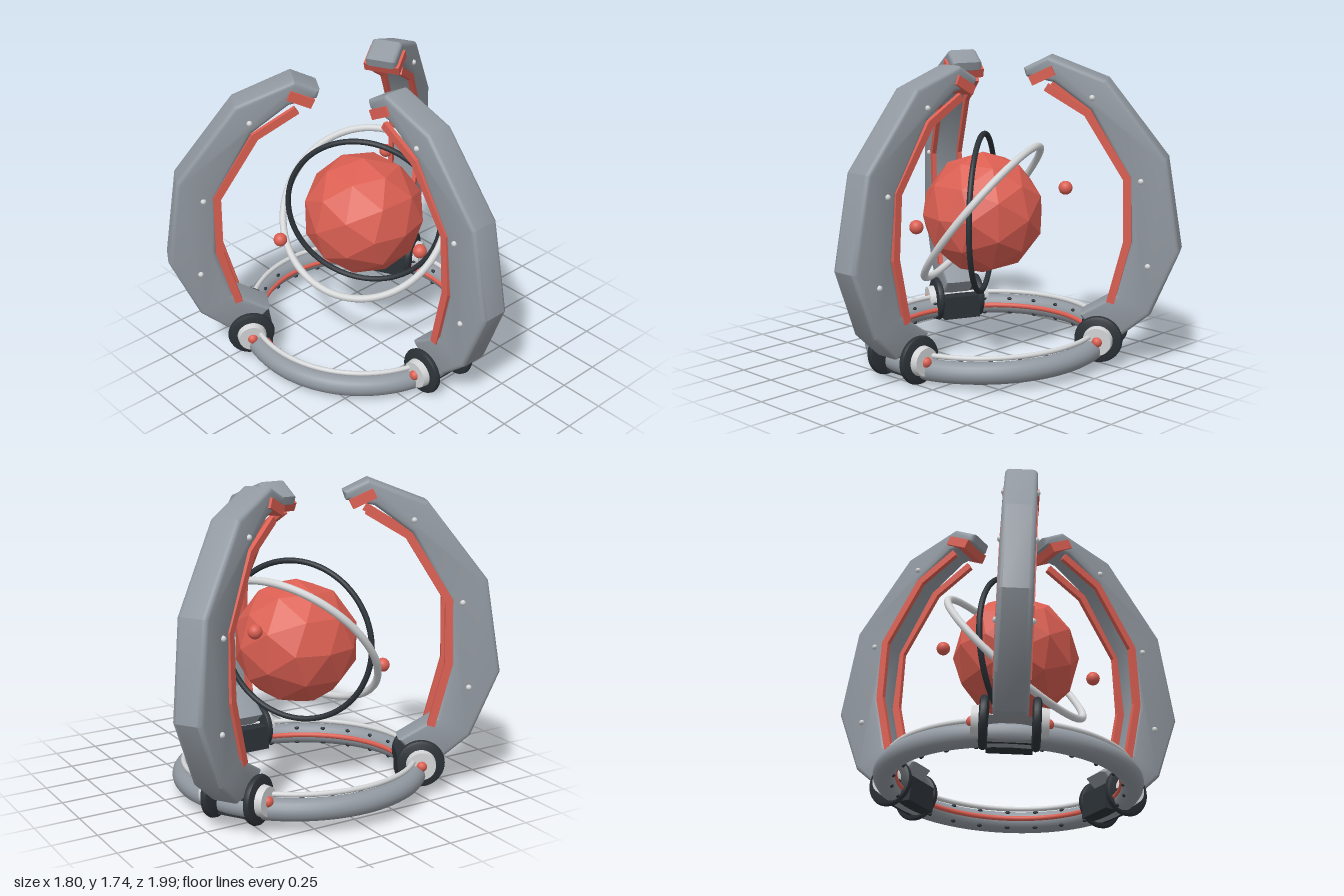
import * as THREE from 'three';
import { toCreasedNormals } from 'three/addons/utils/BufferGeometryUtils.js';

const material = (name, color, flatShading = false) => {
  const m = new THREE.MeshStandardMaterial({ color, flatShading });
  m.name = name;
  return m;
};

export function createModel() {
  const grey = material('steel grey', 0x9198a0);
  const light = material('light metal', 0xd2d4d6);
  const dark = material('dark rubber', 0x2c3238);
  const red = material('coral red', 0xdb5f52);
  red.flatShading = false;

  const model = new THREE.Group();
  model.name = 'orbCradle';

  const add = (parent, name, geometry, mat, x = 0, y = 0, z = 0) => {
    const mesh = new THREE.Mesh(geometry, mat);
    mesh.name = name;
    mesh.position.set(x, y, z);
    parent.add(mesh);
    return mesh;
  };
  const shapeOf = pts => new THREE.Shape(pts.map(p => new THREE.Vector2(p[0], p[1])));

  // Slightly tilted base that carries the ring and the three arms
  const base = new THREE.Group();
  base.name = 'base';
  base.position.set(-0.19, 0.115, 0);
  base.rotation.z = -0.038;
  model.add(base);

  const flatRing = (name, R, r, mat, y) => {
    const g = new THREE.TorusGeometry(R, r, 16, 96).rotateX(Math.PI / 2);
    return add(base, name, g, mat, 0, y, 0);
  };
  flatRing('baseRing', 0.655, 0.06, grey, 0);
  flatRing('topRail', 0.65, 0.014, light, 0.08);
  flatRing('innerGlowRing', 0.6, 0.015, red, 0.005);

  // Small studs around the inside of the ring
  const stud = new THREE.SphereGeometry(0.01, 8, 6).scale(1, 1, 1.5);
  for (let i = 0; i < 24; i++) {
    const a = i * Math.PI / 12;
    for (const s of [1, -1]) {
      const m = add(base, 'ringStud', stud, dark, 0.613 * Math.cos(a), s * 0.044, -0.613 * Math.sin(a));
      m.rotation.y = a;
    }
  }

  // Curved arm: side profile (radius, height) extruded across its width
  const bevel = 0.025, halfWidth = 0.088;
  const armGeometry = toCreasedNormals(new THREE.ExtrudeGeometry(shapeOf([
    [0.63, 0.09], [0.79, 0.075], [0.938, 0.22], [1.062, 0.596], [0.94, 1.1], [0.574, 1.5],
    [0.245, 1.597], [0.115, 1.52], [0.134, 1.475], [0.29, 1.458], [0.505, 1.326],
    [0.744, 0.975], [0.793, 0.62], [0.74, 0.313], [0.54, 0.166],
  ]), {
    depth: 2 * (halfWidth - bevel), bevelSize: bevel, bevelThickness: bevel,
    bevelOffset: -bevel, bevelSegments: 3,
  }).translate(0, 0, bevel - halfWidth), 0.55);

  // Trim strip that follows the inner edge of the arm
  const path = [[0.251, 1.43], [0.491, 1.31], [0.739, 0.972], [0.773, 0.622], [0.711, 0.262]];
  const edge = d => path.map((p, i) => {
    const a = path[Math.max(i - 1, 0)], b = path[Math.min(i + 1, path.length - 1)];
    const dx = b[0] - a[0], dy = b[1] - a[1], l = Math.hypot(dx, dy);
    return [p[0] - dy / l * d, p[1] + dx / l * d];
  });
  const stripGeometry = new THREE.ExtrudeGeometry(
    shapeOf([...edge(0.022), ...edge(-0.022).reverse()]), { depth: 0.026, bevelEnabled: false },
  ).translate(0, 0, -0.013);

  // Wheel, turned around its axle
  const wheelGeometry = toCreasedNormals(new THREE.LatheGeometry([
    [0, -0.022], [0.115, -0.022], [0.13, -0.015], [0.135, 0], [0.13, 0.015], [0.115, 0.022], [0, 0.022],
  ].map(p => new THREE.Vector2(p[0], p[1])), 40).rotateX(Math.PI / 2), 0.7);
  const hubGeometry = new THREE.CylinderGeometry(0.078, 0.085, 0.045, 32).rotateX(Math.PI / 2);
  const capGeometry = new THREE.SphereGeometry(0.03, 16, 12);
  const boltGeometry = new THREE.SphereGeometry(0.016, 12, 8);
  const hinge = [0.67, 0.055];

  // [direction around the ring, outward lean about the hinge]
  for (const [angle, lean] of [[0, 0], [2 * Math.PI / 3, -0.095], [-2 * Math.PI / 3, -0.095]]) {
    const unit = new THREE.Group();
    unit.name = 'armUnit';
    unit.rotation.y = angle;
    base.add(unit);

    add(unit, 'carriage', new THREE.BoxGeometry(0.15, 0.14, 0.23), dark, 0.62, 0.015, 0);

    const pivot = new THREE.Group();
    pivot.name = 'armPivot';
    pivot.position.set(hinge[0], hinge[1], 0);
    pivot.rotation.z = lean;
    unit.add(pivot);
    const arm = new THREE.Group();
    arm.name = 'arm';
    arm.position.set(-hinge[0], -hinge[1], 0);
    pivot.add(arm);

    add(arm, 'armShell', armGeometry, grey);
    const tip = add(arm, 'tipPad', new THREE.BoxGeometry(0.14, 0.055, 0.205), red, 0.224, 1.49, 0);
    tip.rotation.z = 0.52;

    for (const s of [1, -1]) {
      add(arm, 'trimStrip', stripGeometry, red, 0, 0, s * 0.083);
      for (const [x, y] of [[0.508, 1.396], [0.814, 0.967], [0.897, 0.497]]) {
        add(arm, 'bolt', boltGeometry, light, x, y, s * 0.09);
      }
      add(unit, 'wheel', wheelGeometry, dark, hinge[0], hinge[1], s * 0.128);
      const hub = add(unit, 'hub', hubGeometry, light, hinge[0], hinge[1], s * 0.166);
      if (s < 0) hub.rotation.y = Math.PI;
      add(unit, 'hubCap', capGeometry, red, hinge[0], hinge[1], s * 0.183);
    }
  }

  // Floating faceted core with its two hoops and three satellites
  const core = new THREE.Group();
  core.name = 'core';
  core.position.set(-0.15, 0.85, 0);
  model.add(core);
  const orb = toCreasedNormals(new THREE.IcosahedronGeometry(0.35, 1), 0.01);
  add(core, 'orb', orb, red);

  const darkHoop = add(core, 'darkHoop', new THREE.TorusGeometry(0.45, 0.016, 12, 80), dark);
  darkHoop.rotation.y = 0.59;
  const lightHoop = add(core, 'lightHoop', new THREE.TorusGeometry(0.495, 0.021, 12, 80), light);
  lightHoop.quaternion.setFromUnitVectors(
    new THREE.Vector3(0, 0, 1), new THREE.Vector3(0.33, 0.617, 0.715).normalize());

  for (const p of [[0.495, -0.018, 0.03], [-0.26, -0.134, 0.405], [-0.25, 0.16, -0.4]]) {
    add(core, 'satellite', new THREE.SphereGeometry(0.039, 20, 14), red, ...p);
  }
  return model;
}
